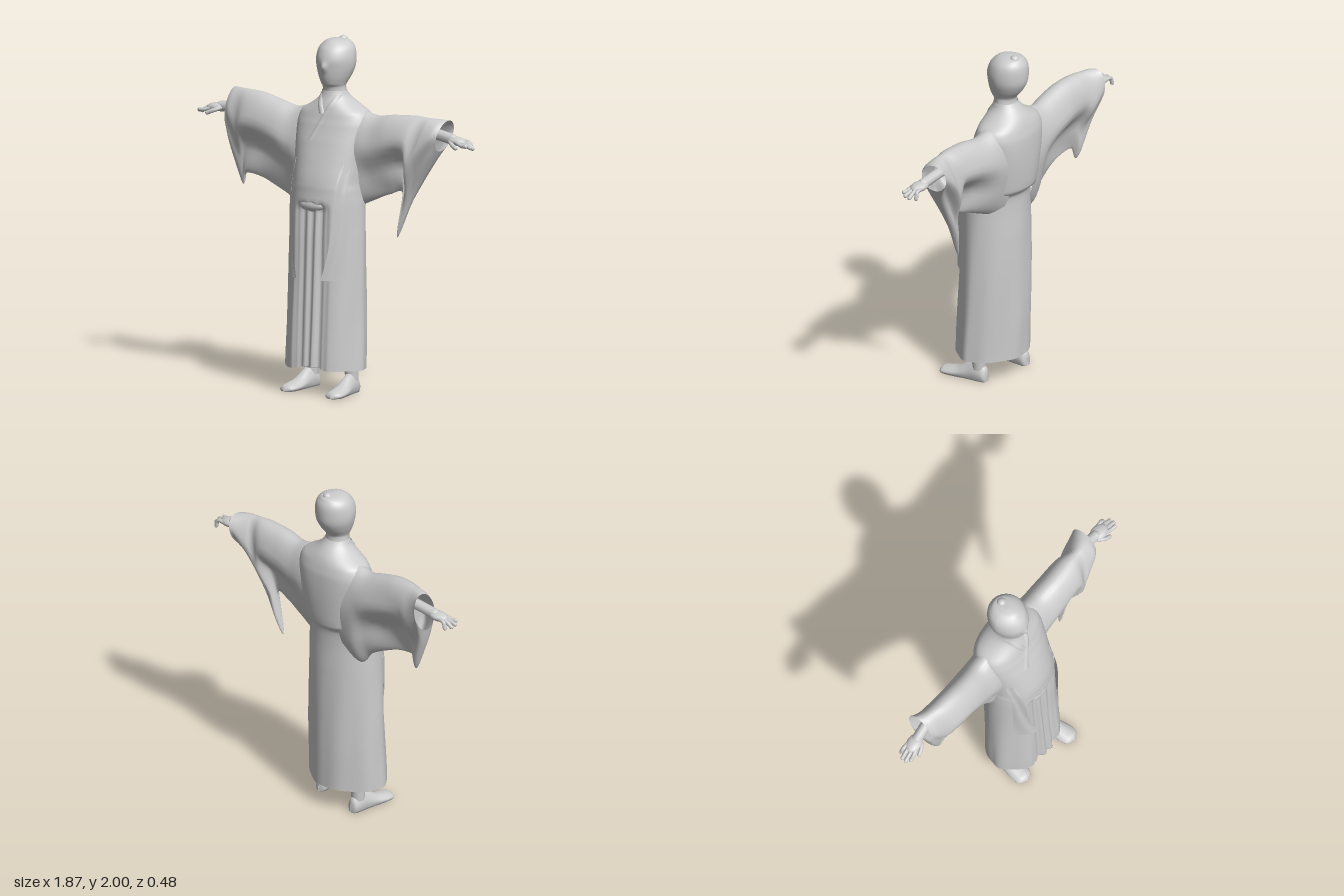
import * as THREE from 'three';
import { mergeVertices } from 'three/addons/utils/BufferGeometryUtils.js';

const grey = new THREE.MeshStandardMaterial({ color: 0xcccccc, side: THREE.DoubleSide });
grey.name = 'light grey clay';

function add(parent, name, geometry) {
  const mesh = new THREE.Mesh(geometry, grey);
  mesh.name = name;
  parent.add(mesh);
  return mesh;
}

// Smooth sheet from a rule fn(u, v) -> [x, y, z]
function sheet(nu, nv, fn) {
  const pos = [], idx = [], w = nu + 1;
  for (let j = 0; j <= nv; j++)
    for (let i = 0; i <= nu; i++) pos.push(...fn(i / nu, j / nv));
  for (let j = 0; j < nv; j++)
    for (let i = 0; i < nu; i++) {
      const a = j * w + i;
      idx.push(a, a + w, a + 1, a + 1, a + w, a + w + 1);
    }
  let g = new THREE.BufferGeometry();
  g.setAttribute('position', new THREE.Float32BufferAttribute(pos, 3));
  g.setIndex(idx);
  g = mergeVertices(g, 1e-5);
  g.computeVertexNormals();
  return g;
}

// Smoothly interpolated row of a table at fractional index v
function row(table, v) {
  const n = table.length - 1, i = Math.min(Math.floor(v), n - 1), t = v - i;
  const at = k => table[Math.max(0, Math.min(n, k))];
  return table[0].map((_, c) => {
    const [a, b, d, e] = [at(i - 1)[c], at(i)[c], at(i + 1)[c], at(i + 2)[c]];
    const m0 = (d - a) / 2, m1 = (e - b) / 2;
    return b + m0 * t + (3 * (d - b) - 2 * m0 - m1) * t * t + (2 * (b - d) + m0 + m1) * t ** 3;
  });
}
const spow = (c, p) => Math.sign(c) * Math.abs(c) ** p;
const smooth = THREE.MathUtils.smoothstep;

// Robe: height, half width, front z, back z, squareness
const ROBE = [
  [0.14, 0.252, 0.217, -0.19, 1.7], [0.4, 0.245, 0.203, -0.195, 1.75], [0.66, 0.238, 0.188, -0.195, 1.8],
  [0.9, 0.23, 0.178, -0.19, 1.9], [1.08, 0.222, 0.168, -0.183, 2], [1.16, 0.215, 0.16, -0.188, 2.1],
  [1.19, 0.213, 0.157, -0.224, 2.15], [1.3, 0.217, 0.13, -0.238, 2.2], [1.42, 0.225, 0.092, -0.242, 2.3],
  [1.52, 0.23, 0.056, -0.237, 2.3], [1.58, 0.21, 0.035, -0.222, 2.2], [1.62, 0.145, 0.022, -0.205, 2.1],
  [1.66, 0.092, 0.004, -0.175, 2], [1.7, 0.07, -0.008, -0.142, 2],
];
function robeAt(y) {
  let i = 0;
  while (i < ROBE.length - 2 && ROBE[i + 1][0] < y) i++;
  return row(ROBE, i + (y - ROBE[i][0]) / (ROBE[i + 1][0] - ROBE[i][0]));
}
function robePoint(u, v) {
  const y = 0.14 + v * 1.56, [, hx, zf, zb, p] = robeAt(y);
  const a = u * Math.PI * 2, low = 1 - smooth(y, 0.2, 1.15);
  const fold = 1 + 0.014 * low * Math.sin(9 * a + 2 * y) + 0.006 * Math.sin(5 * a + 9 * y) * (1 - smooth(y, 1.45, 1.6));
  const x = hx * spow(Math.cos(a), 2 / p) * fold;
  let z = (zf + zb) / 2 + (zf - zb) / 2 * spow(Math.sin(a), 2 / p) * fold;
  // recessed opening between the front panels
  if (Math.sin(a) > 0)
    z -= (1 - smooth(Math.abs(x), 0.085, 0.115)) * (1 - smooth(y, 1.04, 1.1)) * (0.022 + 0.01 * Math.cos(x * 110));
  const hem = v === 0 && Math.sin(a) > 0 ? 0.025 * (1 - smooth(Math.abs(x), 0.02, 0.12)) : 0;
  return [x, y + hem, z];
}
function frontZ(x, y) {
  const [, hx, zf, zb, p] = robeAt(y);
  const q = Math.min(1, Math.abs(x / hx));
  return (zf + zb) / 2 + (zf - zb) / 2 * (1 - q ** p) ** (1 / p);
}

// Sleeves: top x,y; bottom x,y; z centre, half depth, roundness
const LEFT_SLEEVE = [
  [0.08, 1.6, 0.12, 1.02, -0.1, 0.12, 0.9], [0.19, 1.592, 0.19, 1.06, -0.1, 0.118, 0.75],
  [0.28, 1.575, 0.28, 1.1, -0.095, 0.113, 0.45], [0.4, 1.592, 0.38, 1.14, -0.085, 0.11, 0.15],
  [0.54, 1.6, 0.47, 1.15, -0.085, 0.105, 0], [0.61, 1.597, 0.43, 0.9, -0.085, 0.1, 0.1],
  [0.65, 1.595, 0.52, 1.1, -0.09, 0.1, 0.2], [0.7, 1.59, 0.65, 1.32, -0.105, 0.095, 0.6],
  [0.735, 1.585, 0.7, 1.41, -0.125, 0.085, 1],
];
const RIGHT_SLEEVE = [
  [0.08, 1.6, 0.12, 1.0, -0.1, 0.12, 0.9], [0.19, 1.592, 0.2, 0.97, -0.1, 0.118, 0.75],
  [0.27, 1.578, 0.27, 1.05, -0.1, 0.113, 0.45], [0.36, 1.6, 0.38, 1.11, -0.095, 0.11, 0.15],
  [0.48, 1.63, 0.49, 1.155, -0.1, 0.105, 0], [0.58, 1.638, 0.6, 1.165, -0.11, 0.1, 0.1],
  [0.65, 1.638, 0.63, 1.1, -0.125, 0.095, 0.2], [0.7, 1.637, 0.7, 1.27, -0.142, 0.09, 0.6],
  [0.725, 1.635, 0.735, 1.4, -0.16, 0.08, 1],
];
const sleeve = (table, side) => sheet(40, 64, (u, v) => {
  const [xt, yt, xb, yb, zc, d, k] = row(table, v * (table.length - 1));
  const a = -side * u * Math.PI * 2, h = 0.5 + 0.5 * Math.cos(a);
  const tear = 0.2 + 0.85 * smooth(h, 0.3, 0.66);
  const ripple = 0.012 * (1 - k) * Math.sin(14 * v + 9 * h) * Math.abs(Math.sin(a)) * (1 - h);
  const z = zc * (0.75 + 0.25 * h) + Math.sin(a) * d * (tear + (1 - tear) * k) + ripple;
  return [side * (xb + (xt - xb) * h), yb + (yt - yb) * h, z];
});

// Head and neck: height, half width, front z, back z
const HEAD = [
  [1.6, 0.085, 0, -0.165], [1.68, 0.073, -0.008, -0.142], [1.72, 0.068, -0.004, -0.137],
  [1.74, 0.073, 0.012, -0.146], [1.78, 0.092, 0.025, -0.178], [1.83, 0.109, 0.032, -0.203],
  [1.88, 0.114, 0.034, -0.209], [1.93, 0.106, 0.016, -0.206], [1.962, 0.086, -0.012, -0.192],
  [1.982, 0.052, -0.042, -0.168], [1.99, 0, -0.09, -0.09],
];

// Hand with wrist, built pointing to +x from the wrist
function hand() {
  const g = new THREE.Group();
  const tube = (name, pts, r) => {
    const curve = new THREE.CatmullRomCurve3(pts.map(p => new THREE.Vector3(...p)));
    add(g, name, new THREE.TubeGeometry(curve, 10, r, 10));
    const tip = add(g, name + 'Tip', new THREE.SphereGeometry(r, 10, 8));
    tip.position.set(...pts[pts.length - 1]);
  };
  tube('forearm', [[-0.2, 0.01, 0], [-0.05, 0.005, 0], [0.07, -0.005, 0]], 0.031);
  const palm = add(g, 'palm', new THREE.SphereGeometry(1, 16, 12));
  palm.scale.set(0.062, 0.025, 0.043);
  palm.position.set(0.1, -0.008, 0);
  [-0.036, -0.013, 0.011, 0.033].forEach((z, i) => {
    const l = [0.175, 0.203, 0.207, 0.192][i];
    tube('finger', [[0.11, -0.008, z * 0.8], [0.16, -0.008 - 0.004 * i, z], [l, -0.042 + 0.008 * i, z * 1.1]], 0.0115);
  });
  tube('thumb', [[0.06, -0.01, 0.02], [0.1, -0.022, 0.047], [0.135, -0.035, 0.055]], 0.012);
  return g;
}

// Foot: z from heel, half width, height
const FOOT = [
  [0, 0.002, 0.05], [0.012, 0.032, 0.085], [0.06, 0.04, 0.12], [0.11, 0.042, 0.105],
  [0.18, 0.05, 0.062], [0.24, 0.055, 0.045], [0.285, 0.045, 0.034], [0.305, 0.002, 0.012],
];
function foot() {
  const g = new THREE.Group();
  add(g, 'foot', sheet(24, 28, (u, v) => {
    const [z, w, h] = row(FOOT, v * 7), a = -u * Math.PI * 2;
    const narrow = 1 - 0.3 * Math.max(0, Math.sin(a));
    return [w * spow(Math.cos(a), 0.7) * narrow, Math.max(0, h * (0.42 + 0.58 * Math.sin(a))), z];
  }));
  const leg = add(g, 'leg', new THREE.CylinderGeometry(0.05, 0.038, 0.34, 20));
  leg.position.set(0, 0.24, 0.055);
  return g;
}

export function createModel() {
  const model = new THREE.Group();
  model.name = 'robedFigure';
  add(model, 'robe', sheet(120, 104, robePoint));

  // head with a soft ridge for the nose, and topknot
  add(model, 'head', sheet(64, 60, (u, v) => {
    const [y, hx, zf, zb] = row(HEAD, v * 10), a = u * Math.PI * 2;
    const front = Math.max(0, Math.sin(a)), x = hx * Math.cos(a) * (1 - 0.12 * front);
    const nose = front > 0 ? 0.018 * Math.exp(-((x / 0.017) ** 2) - ((y - 1.84) / 0.024) ** 2) : 0;
    return [x, y, (zf + zb) / 2 + (zf - zb) / 2 * Math.sin(a) + nose];
  }));
  const blob = (name, p, s) => {
    const m = add(model, name, new THREE.SphereGeometry(1, 20, 14));
    m.position.set(...p);
    m.scale.set(...s);
  };
  blob('topknot', [0.012, 1.978, -0.145], [0.026, 0.022, 0.026]);
  blob('sashKnot', [-0.01, 1.07, 0.138], [0.08, 0.035, 0.03]);

  // collar bands, the left one lapping over the shorter right one
  for (const [s, length] of [[1, 1], [-1, 0.42]])
    add(model, 'collarBand', sheet(6, 24, (u, v) => {
      const t = v * length, y = 1.68 - 0.25 * t;
      const x = s * (0.062 - 0.12 * t + (u - 0.5) * 0.04);
      return [x, y, frontZ(x, y) - 0.002 + 0.009 * Math.sin(u * Math.PI) ** 0.7];
    }));

  // hanging front panels of the outer coat
  for (const s of [1, -1])
    add(model, 'coatPanel', sheet(10, 30, (u, v) => {
      const y = 1.32 - 0.665 * v, across = s > 0 ? u : 1 - u;
      const inner = 0.155 - 0.03 * v - 0.045 * v ** 4;
      const x = s * (inner + across * (0.19 - inner));
      const lift = 0.022 * smooth(v, 0, 0.2) * (1 - across * 0.8) + 0.004 * Math.sin(across * 7 + v * 5);
      return [x, y, frontZ(x, y) + lift];
    }));

  // sleeves and hands
  add(model, 'leftSleeve', sleeve(LEFT_SLEEVE, 1));
  add(model, 'rightSleeve', sleeve(RIGHT_SLEEVE, -1));
  const leftHand = hand(), rightHand = hand();
  leftHand.name = 'leftHand';
  leftHand.position.set(0.72, 1.498, -0.095);
  leftHand.rotation.set(0, -0.1, -0.08);
  rightHand.name = 'rightHand';
  rightHand.scale.x = -1;
  rightHand.position.set(-0.72, 1.53, -0.125);
  rightHand.rotation.set(0, 0.1, 0.06);
  model.add(leftHand, rightHand);

  // feet
  const leftFoot = foot(), rightFoot = foot();
  leftFoot.name = 'leftFoot';
  leftFoot.position.set(0.155, 0, -0.062);
  leftFoot.rotation.y = 0.1;
  rightFoot.name = 'rightFoot';
  rightFoot.position.set(-0.145, 0, -0.12);
  rightFoot.rotation.y = -0.08;
  model.add(leftFoot, rightFoot);
  return model;
}
